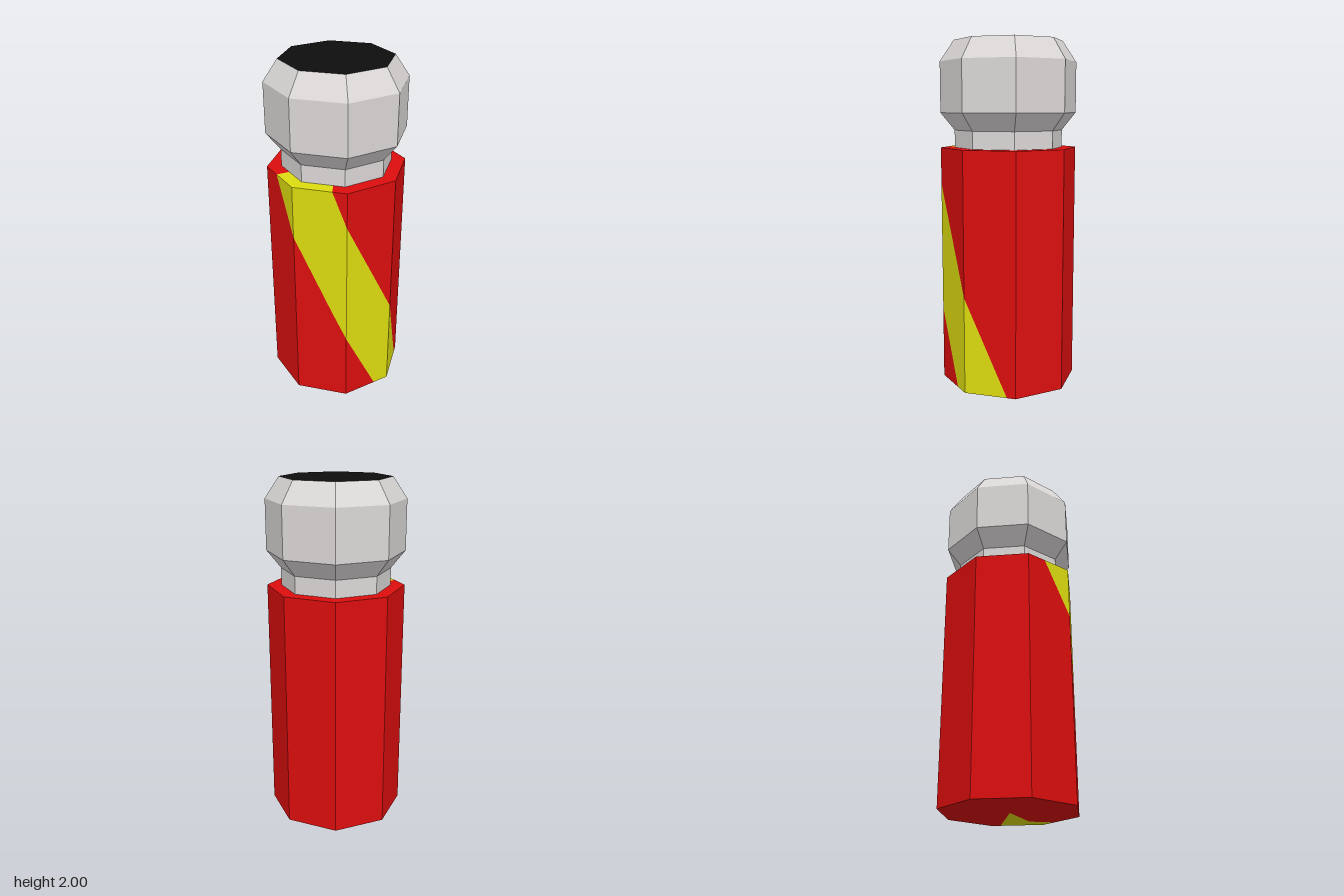
import * as THREE from 'three';

const R = 0.396, NECK = 0.315, H = 1.39;

const mat = (name, color) => {
  const m = new THREE.MeshStandardMaterial({ color });
  m.name = name;
  return m;
};

// Point on the octagon: u counts corners from the front (+z) toward +x
function at(u, y, scale = 1) {
  const k = Math.floor(u), t = u - k, a = k * Math.PI / 4, b = a + Math.PI / 4;
  const r = R * scale;
  return [
    r * (Math.sin(a) * (1 - t) + Math.sin(b) * t), y,
    r * (Math.cos(a) * (1 - t) + Math.cos(b) * t),
  ];
}

// Flat-shaded mesh from a list of convex polygons
function polyMesh(name, polys, material) {
  const pos = [];
  for (const p of polys) {
    for (let i = 1; i < p.length - 1; i++) pos.push(...p[0], ...p[i], ...p[i + 1]);
  }
  const g = new THREE.BufferGeometry();
  g.setAttribute('position', new THREE.Float32BufferAttribute(pos, 3));
  g.computeVertexNormals();
  const m = new THREE.Mesh(g, material);
  m.name = name;
  return m;
}

export function createModel() {
  const red = mat('red', 0xdc0e0e);
  const yellow = mat('yellow', 0xdcdc10);
  const grey = mat('lightGrey', 0xdcd8d8);
  const black = mat('black', 0x0e0e0e);
  const group = new THREE.Group();
  group.name = 'canister';

  // Columns round the body: [u, lower stripe edge, upper stripe edge]
  const cols = [
    [-4, H, H], [-3, H, H], [-2.6, H, H], [-2, 1.08, H], [-1.27, 0.6, H], [-1, 0.43, 1.18],
    [-0.32, 0, 0.76], [0, 0, 0.56], [0.83, 0, 0], [1, 0, 0], [2, 0, 0], [3, 0, 0], [4, 0, 0],
  ];
  const reds = [], yellows = [];
  const centre = [0, 0, 0], kink = at(0.12, 0, 0.695), inner = NECK / R * 0.98;

  for (let i = 0; i < cols.length - 1; i++) {
    const [u0, lo0, hi0] = cols[i], [u1, lo1, hi1] = cols[i + 1];
    const band = (list, a0, a1, b0, b1) => {
      if (b0 - a0 < 1e-6 && b1 - a1 < 1e-6) return;
      const p = [at(u0, a0)];
      p.push(at(u1, a1));
      if (b1 - a1 > 1e-6) p.push(at(u1, b1));
      if (b0 - a0 > 1e-6) p.push(at(u0, b0));
      list.push(p);
    };
    // Wall: red below, stripe, red above
    band(reds, 0, 0, lo0, lo1);
    band(yellows, lo0, lo1, hi0, hi1);
    band(reds, hi0, hi1, H, H);
    // Shoulder ring around the neck
    const onTop = u0 >= -2.6 && u1 <= -1.27;
    (onTop ? yellows : reds).push([at(u0, H), at(u1, H), at(u1, H, inner), at(u0, H, inner)]);
    // Base, with the stripe running to the middle
    if (u0 === -0.32) {
      yellows.push([kink, at(u1, 0), at(u0, 0)]);
      reds.push([centre, kink, at(u0, 0)]);
    } else if (u0 === 0) {
      yellows.push([kink, centre, at(u1, 0), at(u0, 0)]);
    } else {
      reds.push([centre, at(u1, 0), at(u0, 0)]);
    }
  }
  group.add(polyMesh('body', reds, red), polyMesh('stripe', yellows, yellow));

  // Neck and bevelled head
  const profile = [[NECK, H], [NECK, 1.49], [R, 1.59], [R, 1.88], [NECK, 2]]
    .map(([x, y]) => new THREE.Vector2(x, y));
  const headGeo = new THREE.LatheGeometry(profile, 8).toNonIndexed();
  headGeo.computeVertexNormals();
  const head = new THREE.Mesh(headGeo, grey);
  head.name = 'head';
  group.add(head);

  // Black top face
  const ring = [];
  for (let k = 0; k < 8; k++) ring.push(at(k, 2, NECK / R));
  group.add(polyMesh('topFace', [ring], black));

  return group;
}
